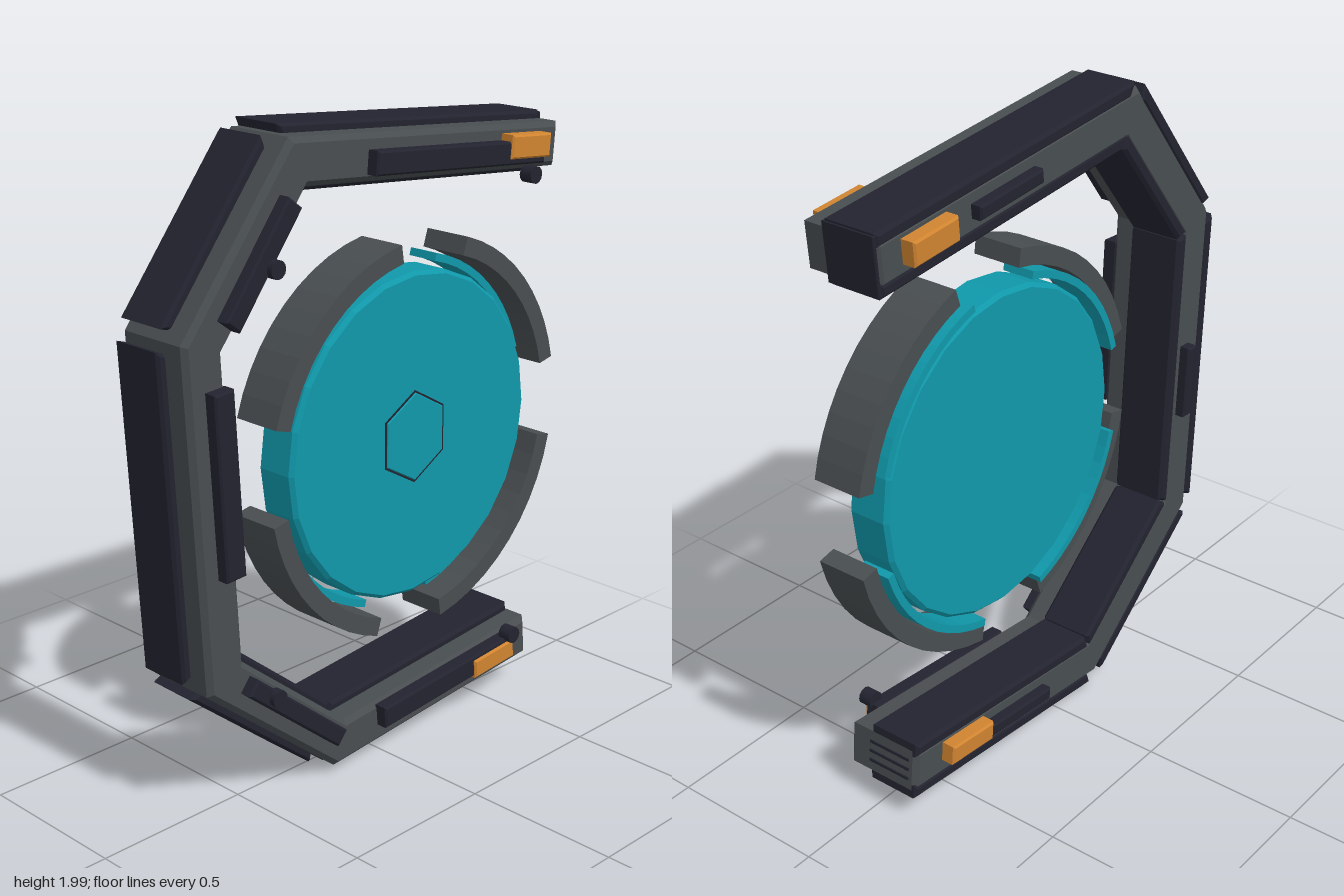
import * as THREE from 'three';

const material = (name, color) => {
  const m = new THREE.MeshStandardMaterial({ color });
  m.name = name;
  return m;
};

export function createModel() {
  const model = new THREE.Group();
  const dark = material('darkNavy', 0x232330);
  const gray = material('steelGray', 0x484d50);
  const teal = material('teal', 0x1098aa);
  const orange = material('orange', 0xd08430);

  // Bevelled prism from a front outline, spanning z0 to z1
  const prism = (name, pts, z0, z1, mat, b = 0) => {
    const geo = new THREE.ExtrudeGeometry(new THREE.Shape(pts), {
      depth: z1 - z0 - 2 * b, bevelEnabled: b > 0, bevelSize: b,
      bevelThickness: b, bevelOffset: -b, bevelSegments: 1,
    });
    geo.translate(0, 0, z0 + b);
    const mesh = new THREE.Mesh(geo, mat);
    mesh.name = name;
    model.add(mesh);
    return mesh;
  };

  // Rotated rectangular bar lying on the frame
  const bar = (name, x, y, len, wid, angle, z0, z1, mat, b = 0.006) => {
    const corners = [[-1, -1], [1, -1], [1, 1], [-1, 1]].map(([i, j]) =>
      new THREE.Vector2(i * len / 2, j * wid / 2));
    const mesh = prism(name, corners, z0, z1, mat, b);
    mesh.position.set(x, y, 0);
    mesh.rotation.z = THREE.MathUtils.degToRad(angle);
  };

  // Frame centreline, from the upper arm round to the lower arm
  const path = [[0.757, 1.81], [-0.331, 1.905], [-0.688, 1.456],
    [-0.633, 0.475], [-0.18, 0.104], [0.682, 0.181]].map(p => new THREE.Vector2(...p));
  const last = path.length - 1;
  const dir = i => path[i + 1].clone().sub(path[i]).normalize();
  const normal = i => { const d = dir(i); return new THREE.Vector2(-d.y, d.x); };

  // Mitred offset of path point i; positive d is towards the inside
  const offset = (i, d) => {
    const a = normal(Math.max(i - 1, 0)), b = normal(Math.min(i, last - 1));
    const m = a.clone().add(b).normalize();
    return path[i].clone().addScaledVector(m, d / m.dot(a));
  };

  // Gray core running through the whole frame
  const ids = path.map((_, i) => i);
  prism('frameCore', [...ids.map(i => offset(i, -0.068)),
    ...ids.reverse().map(i => offset(i, 0.068))], -0.138, 0.12, gray, 0.016);

  // Dark armour plates on the outer and inner sides of each beam
  for (let i = 0; i < last; i++) {
    const d = dir(i);
    for (const [name, near, far, gap] of [
      ['outerPlate', -0.05, -0.093, 0.034], ['innerPlate', 0.05, 0.093, 0.002]]) {
      const g0 = i > 0 ? gap : 0, g1 = i < last - 1 ? gap : 0;
      prism(name, [
        offset(i, near).addScaledVector(d, g0), offset(i, far).addScaledVector(d, g0),
        offset(i + 1, far).addScaledVector(d, -g1), offset(i + 1, near).addScaledVector(d, -g1),
      ], -0.14, 0.04, dark, 0.01);
    }
  }

  // Arm end cap and vent slots
  bar('upperEndCap', 0.757, 1.81, 0.012, 0.175, -5, -0.135, 0.04, dark, 0.003);
  for (let i = -1; i <= 1; i++) {
    bar('endVent', 0.682 - i * 0.003, 0.181 + i * 0.032, 0.008, 0.008, 5, -0.11, 0.04, dark, 0);
  }

  // Front panels: x, y, length, width, angle
  for (const p of [[0.29, 1.838, 0.73, 0.07, -5], [-0.5, 1.66, 0.38, 0.062, 52.5],
    [-0.637, 1.067, 0.55, 0.072, 93.2], [-0.39, 0.295, 0.46, 0.056, -39.5],
    [0.27, 0.172, 0.6, 0.07, 5]]) {
    bar('frontPanel', ...p, 0.11, 0.16, dark);
  }

  // Slim back strips
  for (const p of [[0.26, 1.855, 0.27, 0.042, -5], [-0.642, 0.93, 0.24, 0.042, 93.2],
    [0.23, 0.143, 0.3, 0.042, 5]]) {
    bar('backStrip', ...p, -0.172, -0.13, dark);
  }

  // Orange lights on both faces of each arm
  for (const p of [[0.58, 1.832, 0.178, 0.072, -5], [0.47, 0.18, 0.188, 0.062, 5]]) {
    bar('frontLight', ...p, 0.11, 0.168, orange);
    bar('backLight', ...p, -0.183, -0.13, orange);
  }

  // Small round knobs
  for (const [x, y, z0] of [[-0.47, 1.645, 0.15], [-0.485, 0.385, 0.15],
    [0.59, 1.745, 0.135], [0.55, 0.24, 0.135]]) {
    const knob = new THREE.Mesh(new THREE.CylinderGeometry(0.027, 0.027, 0.178 - z0, 12), dark);
    knob.name = 'knob';
    knob.rotation.x = Math.PI / 2;
    knob.position.set(x, y, (z0 + 0.178) / 2);
    model.add(knob);
  }

  // Points on a circle about the disc centre, angles in degrees
  const cx = 0.17, cy = 0.995;
  const circle = (r, a0, a1, n) => Array.from({ length: n + 1 }, (_, i) => {
    const a = THREE.MathUtils.degToRad(a0 + (a1 - a0) * i / n);
    return new THREE.Vector2(cx + r * Math.cos(a), cy + r * Math.sin(a));
  });

  // Central disc with a hexagonal hub
  prism('disc', circle(0.512, 0, 345, 23), -0.06, 0.08, teal, 0.012);
  prism('hubRim', circle(0.147, 30, 330, 5), 0.07, 0.082, dark);
  prism('hub', circle(0.14, 30, 330, 5), 0.07, 0.086, teal, 0.003);

  // Curved guards and liners around the disc
  const arc = (name, r0, r1, a0, a1, z0, z1, mat) => prism(name,
    [...circle(r1, a0, a1, 10), ...circle(r0, a0, a1, 10).reverse()], z0, z1, mat);
  for (const [a0, a1] of [[12, 72], [98.6, 164], [191, 252.3], [279, 347.5]]) {
    arc('guard', 0.562, 0.619, a0, a1, -0.052, 0.11, gray);
  }
  for (const [a0, a1] of [[17, 75], [102.6, 165], [196, 253], [282, 343.5]]) {
    arc('liner', 0.528, 0.552, a0, a1, -0.075, 0.03, teal);
  }

  return model;
}
